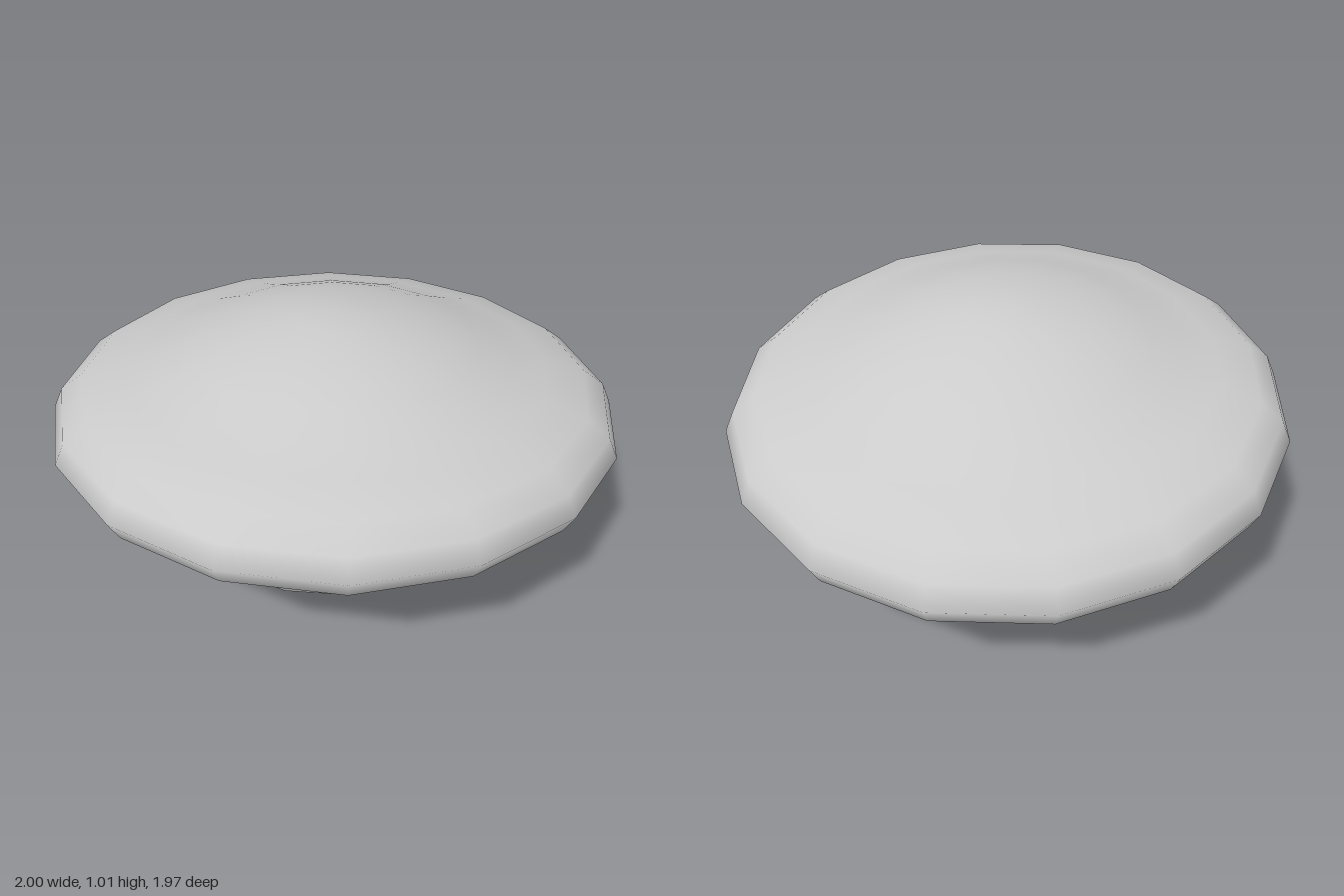
import * as THREE from 'three';
import { mergeVertices } from 'three/addons/utils/BufferGeometryUtils.js';

const SIDES = 16;

// Lathe a profile (bottom to top), move each vertex by a rule, then smooth it without a seam
function shapedLathe(profile, move) {
  const geo = new THREE.LatheGeometry(profile.map(([r, y]) => new THREE.Vector2(r, y)), SIDES);
  const pos = geo.attributes.position;
  const v = new THREE.Vector3();
  for (let i = 0; i < pos.count; i++) {
    v.fromBufferAttribute(pos, i);
    move(v, i % profile.length);
    pos.setXYZ(i, v.x, v.y, v.z);
  }
  geo.deleteAttribute('uv');
  geo.deleteAttribute('normal');
  const merged = mergeVertices(geo, 1e-4);
  merged.computeVertexNormals();
  return merged;
}

export function createModel() {
  const group = new THREE.Group();
  const material = new THREE.MeshStandardMaterial({ color: 0xcccccc });
  const add = (name, geo) => {
    const mesh = new THREE.Mesh(geo, material);
    mesh.name = name;
    group.add(mesh);
  };

  // Cap: shallow dome with a rolled rim, tilted up towards the front and its right
  const capProfile = [
    [0, 0.47], [0.4, 0.47], [0.78, 0.473], [0.9, 0.5], [0.965, 0.555], [1, 0.627],
    [0.965, 0.702], [0.885, 0.763], [0.74, 0.807], [0.62, 0.85], [0.5, 0.9],
    [0.4, 0.937], [0.28, 0.972], [0.14, 1.0], [0, 1.01],
  ];
  add('cap', shapedLathe(capProfile, (v) => {
    v.z *= 0.985;
    v.y += -0.055 * v.x + 0.075 * v.z;
  }));

  // Stem sections: height, centre x, centre z, radius x, radius z
  const stem = [
    [0, -0.02, 0.005, 0, 0],
    [0.002, -0.02, 0.005, 0.25, 0.235],
    [0.018, -0.02, 0.005, 0.38, 0.335],
    [0.06, -0.02, 0.01, 0.44, 0.375],
    [0.11, -0.025, 0.005, 0.465, 0.39],
    [0.17, -0.025, 0.008, 0.475, 0.397],
    [0.22, -0.03, 0.012, 0.458, 0.388],
    [0.28, -0.025, 0.02, 0.42, 0.365],
    [0.36, -0.02, 0.03, 0.375, 0.345],
    [0.44, -0.01, 0.03, 0.348, 0.335],
    [0.57, 0, 0.03, 0.33, 0.33],
  ];
  add('stem', shapedLathe(stem.map(([y, , , rx]) => [rx, y]), (v, row) => {
    const [y, cx, cz, rx, rz] = stem[row];
    v.x += cx;
    v.z = cz + (rx ? v.z * rz / rx : 0);
    // the bulge leans with the cap, the foot stays flat
    v.y += (-0.045 * v.x + 0.03 * v.z) * Math.min(1, y / 0.17);
  }));

  return group;
}
